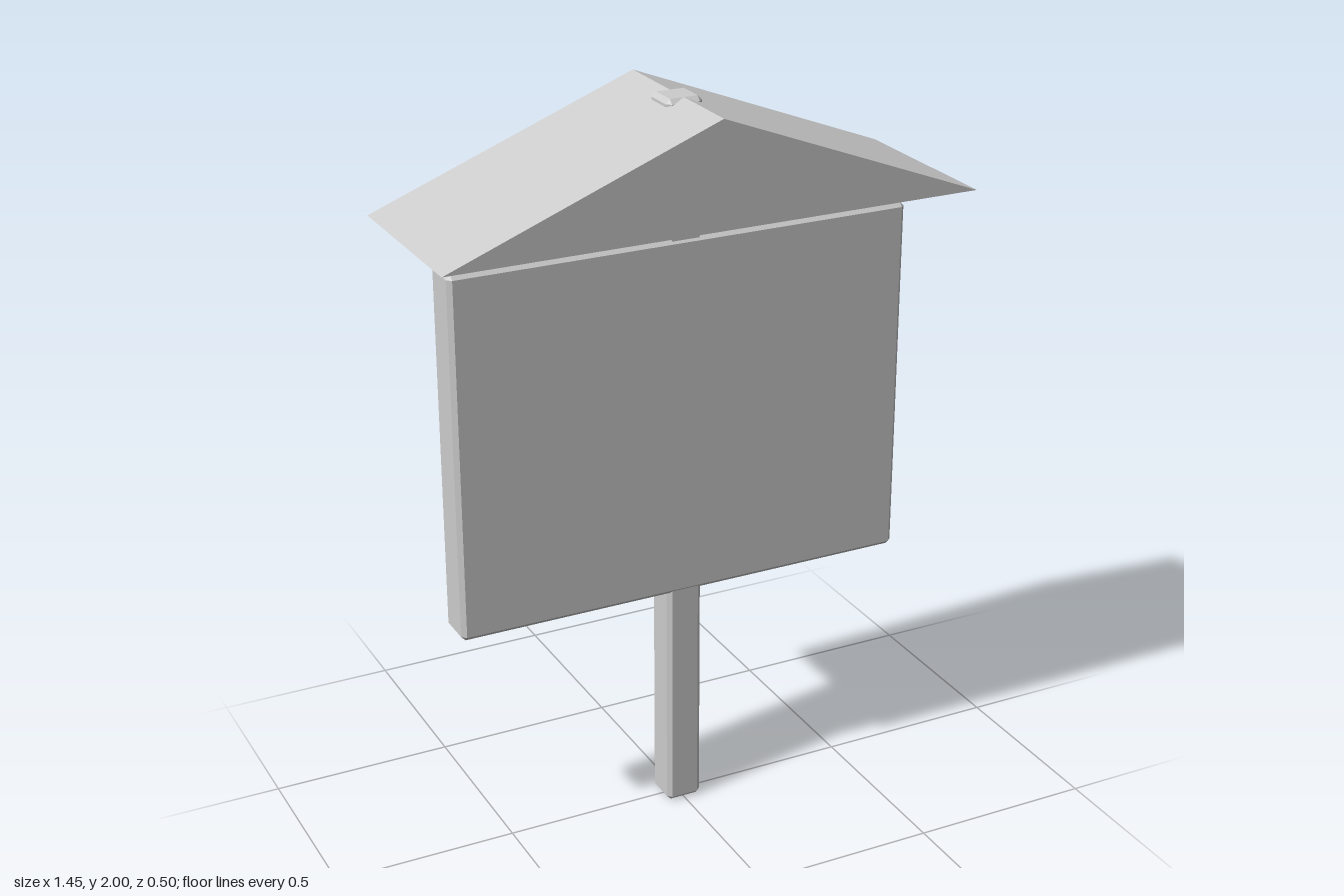
import * as THREE from 'three';
import { ConvexGeometry } from 'three/addons/geometries/ConvexGeometry.js';

const grey = new THREE.MeshStandardMaterial({ color: 0xcccccc });
grey.name = 'grey';
const roofGrey = new THREE.MeshStandardMaterial({ color: 0xcccccc, side: THREE.DoubleSide });
roofGrey.name = 'roof grey';

// Box with flat chamfers on every edge, given by its half sizes
function chamferBox(hx, hy, hz, c) {
  const points = [];
  for (const sx of [-1, 1]) for (const sy of [-1, 1]) for (const sz of [-1, 1]) {
    points.push(
      new THREE.Vector3(sx * hx, sy * (hy - c), sz * (hz - c)),
      new THREE.Vector3(sx * (hx - c), sy * hy, sz * (hz - c)),
      new THREE.Vector3(sx * (hx - c), sy * (hy - c), sz * hz));
  }
  return new ConvexGeometry(points);
}

// Gable roof shell: two slopes and two gable ends, open underneath
function gableRoof(hx, eave, ridge, hz) {
  const [a, b, c, d] = [[-hx, eave, hz], [hx, eave, hz], [hx, eave, -hz], [-hx, eave, -hz]];
  const [f, r] = [[0, ridge, hz], [0, ridge, -hz]];
  const faces = [a, b, f, c, d, r, b, c, r, b, r, f, d, a, f, d, f, r];
  const geometry = new THREE.BufferGeometry();
  geometry.setAttribute('position', new THREE.Float32BufferAttribute(faces.flat(), 3));
  geometry.computeVertexNormals();
  return geometry;
}

export function createModel() {
  const model = new THREE.Group();
  model.name = 'noticeBoard';

  const add = (name, geometry, material, x, y, z) => {
    const mesh = new THREE.Mesh(geometry, material);
    mesh.name = name;
    mesh.position.set(x, y, z);
    model.add(mesh);
  };

  // Post runs from the ground through the board and pokes out at the ridge
  add('post', chamferBox(0.05, 1, 0.05, 0.012), grey, 0, 1, 0);
  add('board', chamferBox(0.64, 0.497, 0.056, 0.012), grey, 0, 1.147, 0);
  add('roof', gableRoof(0.727, 1.72, 2, 0.25), roofGrey, 0, 0, 0);

  // Two paper notices on the front of the board
  add('rightNotice', new THREE.PlaneGeometry(0.4, 0.57), grey, -0.29, 1.08, 0.0575);
  add('leftNotice', new THREE.PlaneGeometry(0.4, 0.57), grey, 0.22, 1.23, 0.0575);

  return model;
}
